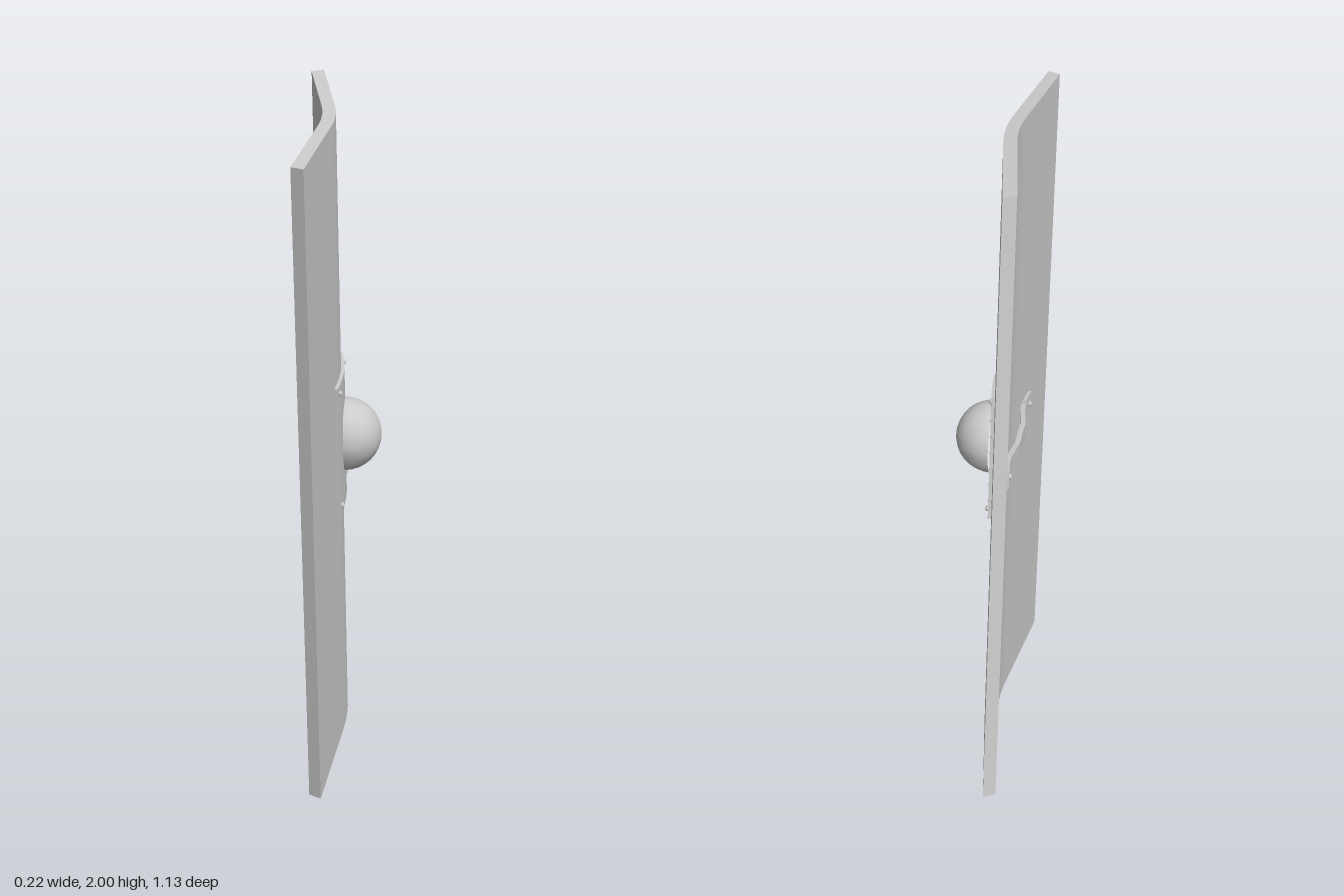
import * as THREE from 'three';

const material = new THREE.MeshStandardMaterial({ color: 0xcccccc });

// Cross-section of the board: two straight wings joined by a soft bend
const SLOPE = 0.137, BEND = 0.1;
const drop = z => Math.abs(z) > BEND ? SLOPE * (Math.abs(z) - BEND / 2) : SLOPE * z * z / (2 * BEND);
const tilt = z => SLOPE * THREE.MathUtils.clamp(z / BEND, -1, 1);

// Box wrapped onto the bend; lift(z) moves it off the surface
function curvedSlab(name, thick, height, width, lift, taper = 0) {
  const g = new THREE.BoxGeometry(thick, height, width, 1, 1, 36);
  const p = g.attributes.position;
  for (let i = 0; i < p.count; i++) {
    const inner = p.getX(i) < 0;
    const z = p.getZ(i) * (inner ? 1 - taper : 1);
    const off = p.getX(i) + lift(z), a = Math.atan(tilt(z));
    p.setXYZ(i, -drop(z) + off * Math.cos(a), p.getY(i), z + off * Math.sin(a));
  }
  g.computeVertexNormals();
  const mesh = new THREE.Mesh(g, material);
  mesh.name = name;
  return mesh;
}

// Small domed rivet pointing along +x or -x
function rivet(name, x, y, z, side) {
  const g = new THREE.SphereGeometry(0.009, 10, 5, 0, Math.PI * 2, 0, Math.PI / 2);
  g.rotateZ(-side * Math.PI / 2);
  const mesh = new THREE.Mesh(g, material);
  mesh.name = name;
  mesh.position.set(x, y, z);
  return mesh;
}

export function createModel() {
  const model = new THREE.Group();
  model.name = 'shield';
  const shield = new THREE.Group();
  shield.name = 'tiltedShield';
  shield.position.set(-0.008, 1, 0);
  shield.rotation.set(0.105, 0, 0.013);
  model.add(shield);

  // Board
  const T = 0.037;
  shield.add(curvedSlab('board', T, 1.91, 0.94, () => -T / 2, 0.03));

  // Face plate with corner rivets
  shield.add(curvedSlab('bossPlate', 0.012, 0.4, 0.267, () => 0.004));
  for (const y of [-0.178, 0.178]) for (const z of [-0.112, 0.112])
    shield.add(rivet('plateRivet', 0.009 - drop(z), y, z, 1));

  // Central dome
  const dome = new THREE.SphereGeometry(0.108, 16, 8, 0, Math.PI * 2, 0, Math.PI / 2);
  dome.rotateZ(-Math.PI / 2);
  const boss = new THREE.Mesh(dome, material);
  boss.name = 'boss';
  boss.position.x = 0.008;
  shield.add(boss);

  // Grip on the inside: bowed bar ending in flat tabs
  const bow = z => -T - 0.004 - 0.03 * (1 - THREE.MathUtils.smoothstep(Math.abs(z), 0.04, 0.19));
  shield.add(curvedSlab('handle', 0.015, 0.045, 0.4, bow));
  for (const s of [-1, 1]) {
    const tab = new THREE.Mesh(new THREE.BoxGeometry(0.012, 0.06, 0.065), material);
    tab.name = 'handleTab';
    tab.position.set(-drop(0.21) - T - 0.003, 0, s * 0.207);
    tab.rotation.y = -s * Math.atan(SLOPE);
    shield.add(tab);
    shield.add(rivet('handleRivet', -drop(0.22) - T - 0.009, 0, s * 0.217, -1));
  }
  return model;
}
